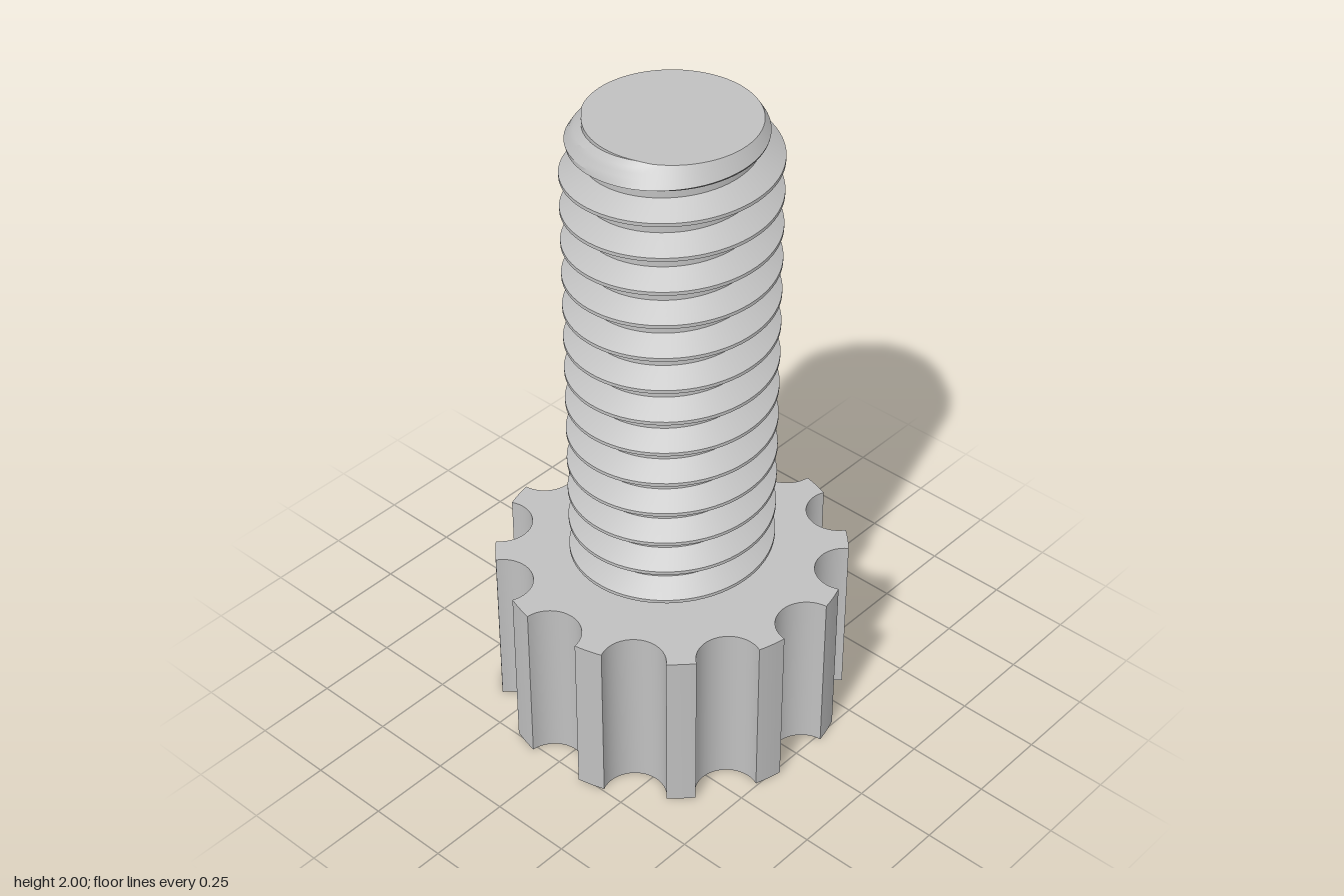
import * as THREE from 'three';
import { toCreasedNormals } from 'three/addons/utils/BufferGeometryUtils.js';

const KNOB_R = 0.5235, NOTCH_R = 0.094, KNOB_H = 0.53, NOTCHES = 12;
const TOP = 2, BASE = 0.5, PITCH = 0.107, CREST_R = 0.304, ROOT_R = 0.24, TIP_R = 0.245;
const TURN = Math.PI * 2;

// Round head with scalloped finger grips
function knobGeometry() {
  const pts = [];
  const half = 2 * Math.asin(NOTCH_R / (2 * KNOB_R)), step = TURN / NOTCHES;
  for (let i = 0; i < NOTCHES; i++) {
    const a = i * step, sweep = Math.PI / 2 - half / 2;
    for (let k = 0; k <= 20; k++) {
      // concave side of the notch
      const b = a + Math.PI + sweep * (1 - k / 10);
      pts.push(new THREE.Vector2(
        KNOB_R * Math.cos(a) + NOTCH_R * Math.cos(b),
        KNOB_R * Math.sin(a) + NOTCH_R * Math.sin(b)));
    }
    for (let k = 1; k < 4; k++) {
      // outer land between two notches
      const b = a + half + (step - 2 * half) * k / 4;
      pts.push(new THREE.Vector2(KNOB_R * Math.cos(b), KNOB_R * Math.sin(b)));
    }
  }
  const geo = new THREE.ExtrudeGeometry(new THREE.Shape(pts), { depth: KNOB_H, bevelEnabled: false });
  geo.rotateX(-Math.PI / 2);
  return toCreasedNormals(geo, 0.5);
}

// Thread profile over one pitch: [fraction of pitch, radius]
const PROFILE = [[0, CREST_R], [0.05, CREST_R], [0.4, ROOT_R], [0.6, ROOT_R], [0.95, CREST_R], [1, CREST_R]];

function radiusAt(y, t) {
  let f = (y - 0.56) / PITCH - (t + Math.PI / 2) / TURN;
  f -= Math.floor(f);
  let i = 1;
  while (i < PROFILE.length - 1 && f > PROFILE[i][0]) i++;
  const [f0, r0] = PROFILE[i - 1], [f1, r1] = PROFILE[i];
  const r = r0 + (r1 - r0) * (f - f0) / (f1 - f0);
  return Math.min(r, TIP_R + 0.62 * (TOP - y)); // chamfered tip
}

// Grid whose rows follow the helix, clipped at both ends
function threadGeometry() {
  const SEG = 72, fractions = [0.05, 0.167, 0.283, 0.4, 0.6, 0.717, 0.833, 0.95];
  const rows = [];
  for (let n = -3; n <= 15; n++) for (const f of fractions) rows.push(n + f);
  const pos = [], index = [];
  for (const row of rows) {
    for (let s = 0; s <= SEG; s++) {
      const t = s / SEG * TURN;
      const raw = 0.56 + PITCH * (row + (t + Math.PI / 2) / TURN);
      const y = Math.min(TOP, Math.max(BASE, raw));
      const r = radiusAt(y, t);
      pos.push(r * Math.sin(t), y, r * Math.cos(t));
    }
  }
  const W = SEG + 1;
  const h = i => pos[i * 3 + 1];
  for (let j = 0; j < rows.length - 1; j++) {
    for (let s = 0; s < SEG; s++) {
      const a = j * W + s, b = a + 1, c = a + W, d = c + 1;
      // skip slivers that were clipped flat
      if (h(c) > h(a) || h(d) > h(a)) index.push(a, b, d, a, d, c);
    }
  }
  // flat end
  const last = (rows.length - 1) * W, centre = pos.length / 3;
  pos.push(0, TOP, 0);
  for (let s = 0; s < SEG; s++) index.push(centre, last + s, last + s + 1);

  const geo = new THREE.BufferGeometry();
  geo.setAttribute('position', new THREE.Float32BufferAttribute(pos, 3));
  geo.setIndex(index);
  return toCreasedNormals(geo, 0.45);
}

export function createModel() {
  const steel = new THREE.MeshStandardMaterial({ color: 0xc0c0c0 });
  steel.name = 'grey';
  const group = new THREE.Group();
  group.name = 'thumbScrew';
  const add = (name, geo) => {
    const mesh = new THREE.Mesh(geo, steel);
    mesh.name = name;
    group.add(mesh);
  };
  add('knobHead', knobGeometry());
  add('threadedShaft', threadGeometry());
  return group;
}
